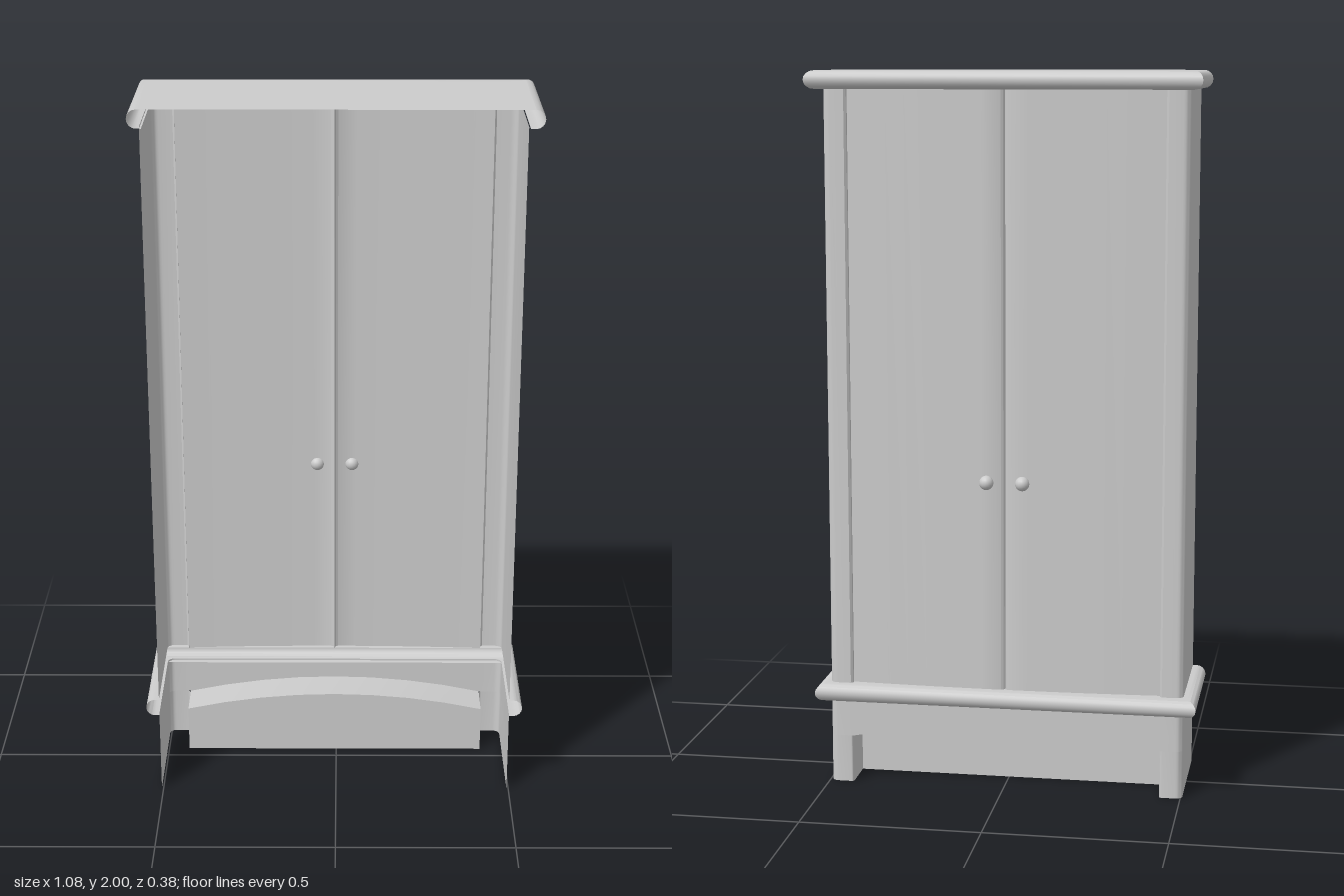
import * as THREE from 'three';
import { toCreasedNormals } from 'three/addons/utils/BufferGeometryUtils.js';

const material = new THREE.MeshStandardMaterial({ color: 0xcccccc, side: THREE.DoubleSide });
const BACK = 0.188, FRONT = -0.15, HALF = 0.5, OPENING = 0.435;

// Sheet through rows of [x, y, z]; rows run top to bottom, points run towards +x
function sheet(name, rows, crease = 0.7) {
  const n = rows[0].length, index = [];
  for (let i = 0; i < rows.length - 1; i++)
    for (let j = 0; j < n - 1; j++) {
      const a = i * n + j, c = a + n;
      index.push(a, a + 1, c, a + 1, c + 1, c);
    }
  const g = new THREE.BufferGeometry();
  g.setAttribute('position', new THREE.Float32BufferAttribute(rows.flat(2), 3));
  g.setIndex(index);
  const mesh = new THREE.Mesh(toCreasedNormals(g, crease), material);
  mesh.name = name;
  return mesh;
}

// Upright wall following a plan of [x, z], listed from the outside inwards; s mirrors it
function wall(name, plan, s, y0, y1) {
  const p = plan.map(([x, z]) => [s * x, z]);
  if (s > 0) p.reverse();
  return sheet(name, [y1, y0].map(y => p.map(([x, z]) => [x, y, z])));
}

// Quarter round from [x, z + r] to [x - r, z]
function corner(x, z, r, steps = 5) {
  return Array.from({ length: steps + 1 }, (_, i) => {
    const a = (i / steps) * Math.PI / 2;
    return [x - r + r * Math.cos(a), z + r - r * Math.sin(a)];
  });
}

// Hollow half-round moulding along both sides and the front
function moulding(name, y0, y1, reach, ledge) {
  const r = (y1 - y0) / 2, profile = [];
  profile.push([0, y1, -ledge]);
  for (let i = 0; i <= 8; i++) {
    const a = Math.PI / 2 - (i / 8) * Math.PI, d = reach - r + r * Math.cos(a);
    profile.push([d, (y0 + y1) / 2 + r * Math.sin(a), d]);
  }
  profile.push([0, y0, -ledge]);
  return sheet(name, profile.map(([d, y, dz]) => {
    const x = HALF + d, z = FRONT - dz;
    return [[-x, y, BACK], [-x, y, z], [x, y, z], [x, y, BACK]];
  }));
}

export function createModel() {
  const model = new THREE.Group();
  model.name = 'wardrobe';
  const body = new THREE.Group();
  body.name = 'body';
  body.position.x = -0.005;
  model.add(body);

  const bow = x => -0.148 + 0.013 * (x / OPENING) ** 2;
  for (const s of [-1, 1]) {
    const side = s > 0 ? 'left' : 'right';
    // Side panel turning into the rounded front post
    const post = [[HALF, BACK], ...corner(HALF, FRONT, 0.02),
      [OPENING + 0.006, FRONT], [OPENING, FRONT + 0.006], [OPENING, -0.132]];
    body.add(wall(side + 'SidePanel', post, s, 0.29, 1.955));

    // Slightly bowed door with a rounded meeting edge
    const door = [];
    for (let i = 0; i <= 8; i++) {
      const x = OPENING + (0.01 - OPENING) * i / 8;
      door.push([x, bow(x)]);
    }
    door.push([0.004, -0.145], [0.001, -0.14], [0, -0.132]);
    body.add(wall(side + 'Door', door, s, 0.29, 1.95));

    // Knob
    const knob = new THREE.Mesh(new THREE.SphereGeometry(0.02, 16, 12), material);
    knob.name = side + 'Knob';
    knob.position.set(s * 0.05, 0.88, -0.154);
    body.add(knob);

    // Foot of the plinth, returning back to the recessed panel
    const foot = [[HALF, BACK], ...corner(HALF, FRONT, 0.02),
      ...corner(-OPENING, FRONT, 0.008).reverse().map(([x, z]) => [-x, z]), [OPENING, -0.04]];
    body.add(wall(side + 'Foot', foot, s, 0, 0.135));
    body.add(wall(side + 'PlinthSide',
      [[HALF, BACK], ...corner(HALF, FRONT, 0.02), [OPENING, FRONT]], s, 0.135, 0.245));
  }

  // Arched plinth: fascia, soffit and recessed panel
  const xs = Array.from({ length: 9 }, (_, i) => -OPENING + 2 * OPENING * i / 8);
  const arch = x => 0.185 - 0.05 * (x / OPENING) ** 2;
  body.add(sheet('archedPlinth', [
    xs.map(x => [x, 0.245, FRONT]),
    xs.map(x => [x, arch(x), FRONT]),
    xs.map(x => [x, arch(x), -0.04]),
    xs.map(x => [x, 0, -0.04]),
  ]));

  // Mouldings and top board
  body.add(moulding('plinthMoulding', 0.24, 0.29, 0.037, 0.015));
  const cornice = moulding('cornice', 1.95, 2, 0.038, 0.015);
  model.add(cornice);
  const top = new THREE.Mesh(new THREE.PlaneGeometry(1.026, BACK + 0.163), material);
  top.name = 'topBoard';
  top.rotation.x = -Math.PI / 2;
  top.position.set(0, 2, (BACK - 0.163) / 2);
  model.add(top);
  return model;
}
